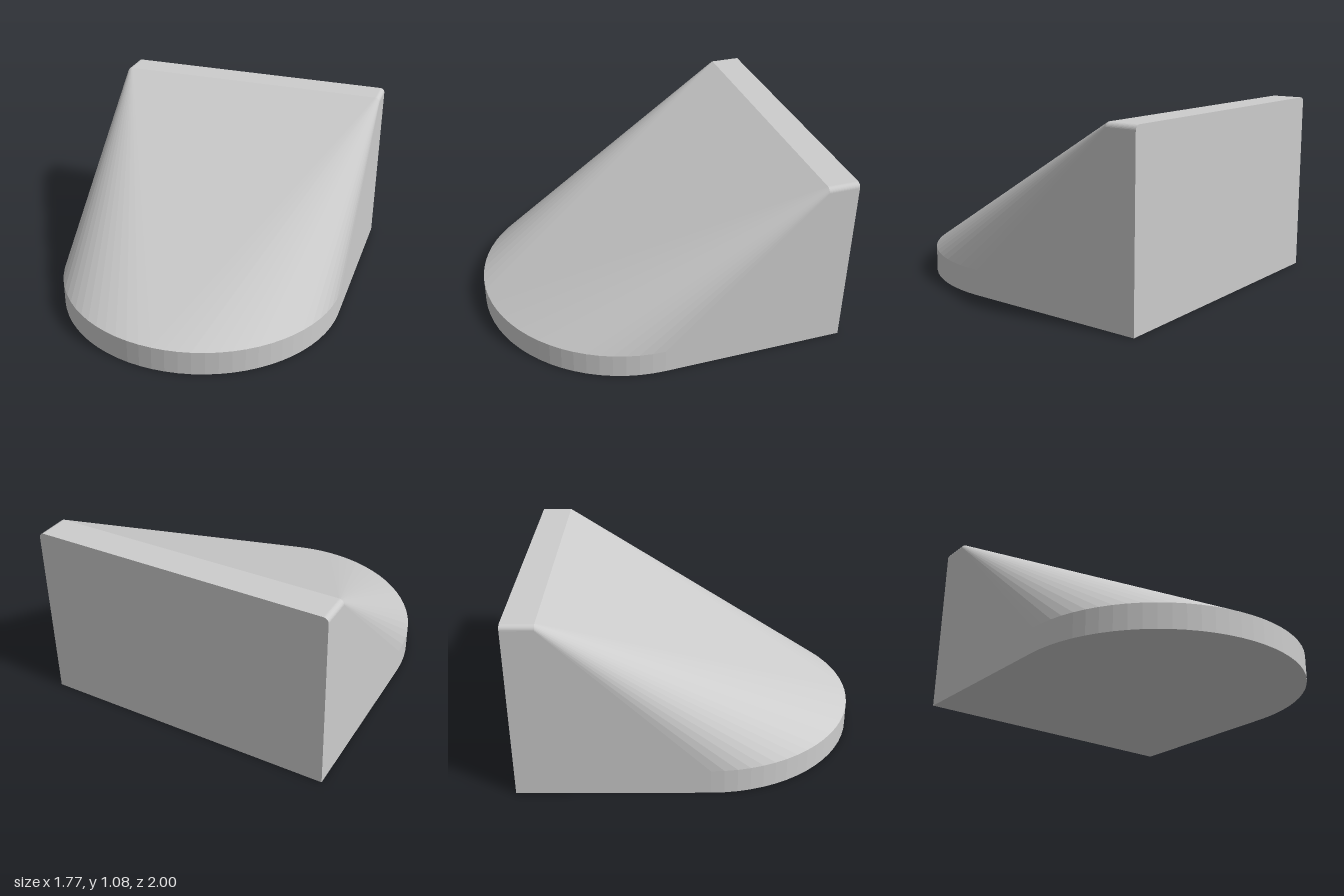
import * as THREE from 'three';
import { ConvexGeometry } from 'three/addons/geometries/ConvexGeometry.js';

const HALF_WIDTH = 0.887;
const BASE_HEIGHT = 0.15;
const TOP = 1.075;
const BACK = -1;
const RIDGE_FRONT = -0.815;
const CORNER = 0.03;

// Points along an arc, as [x, y] pairs
function arc(cx, cy, radius, from, to, steps) {
  return Array.from({ length: steps + 1 }, (_, i) => {
    const a = from + ((to - from) * i) / steps;
    return [cx + radius * Math.cos(a), cy + radius * Math.sin(a)];
  });
}

export function createModel() {
  const model = new THREE.Group();
  model.name = 'wedgeBlock';
  const grey = new THREE.MeshStandardMaterial({ color: 0xcccccc });
  grey.name = 'light grey';

  const points = [];

  // Low slab: square at the back, semicircular at the front
  const outline = [
    [HALF_WIDTH, BACK],
    ...arc(0, 1 - HALF_WIDTH, HALF_WIDTH, 0, Math.PI, 36),
    [-HALF_WIDTH, BACK],
  ];
  for (const [x, z] of outline) {
    for (const y of [0, BASE_HEIGHT]) points.push(new THREE.Vector3(x, y, z));
  }

  // Tall back ridge with rounded upper corners
  const corner = arc(HALF_WIDTH - CORNER, TOP - CORNER, CORNER, 0, Math.PI / 2, 8);
  for (const [x, y] of corner) {
    for (const side of [-1, 1]) {
      for (const z of [BACK, RIDGE_FRONT]) points.push(new THREE.Vector3(side * x, y, z));
    }
  }

  // The body is the skin stretched between slab and ridge
  const body = new THREE.Mesh(new ConvexGeometry(points), grey);
  body.name = 'body';
  model.add(body);
  return model;
}
